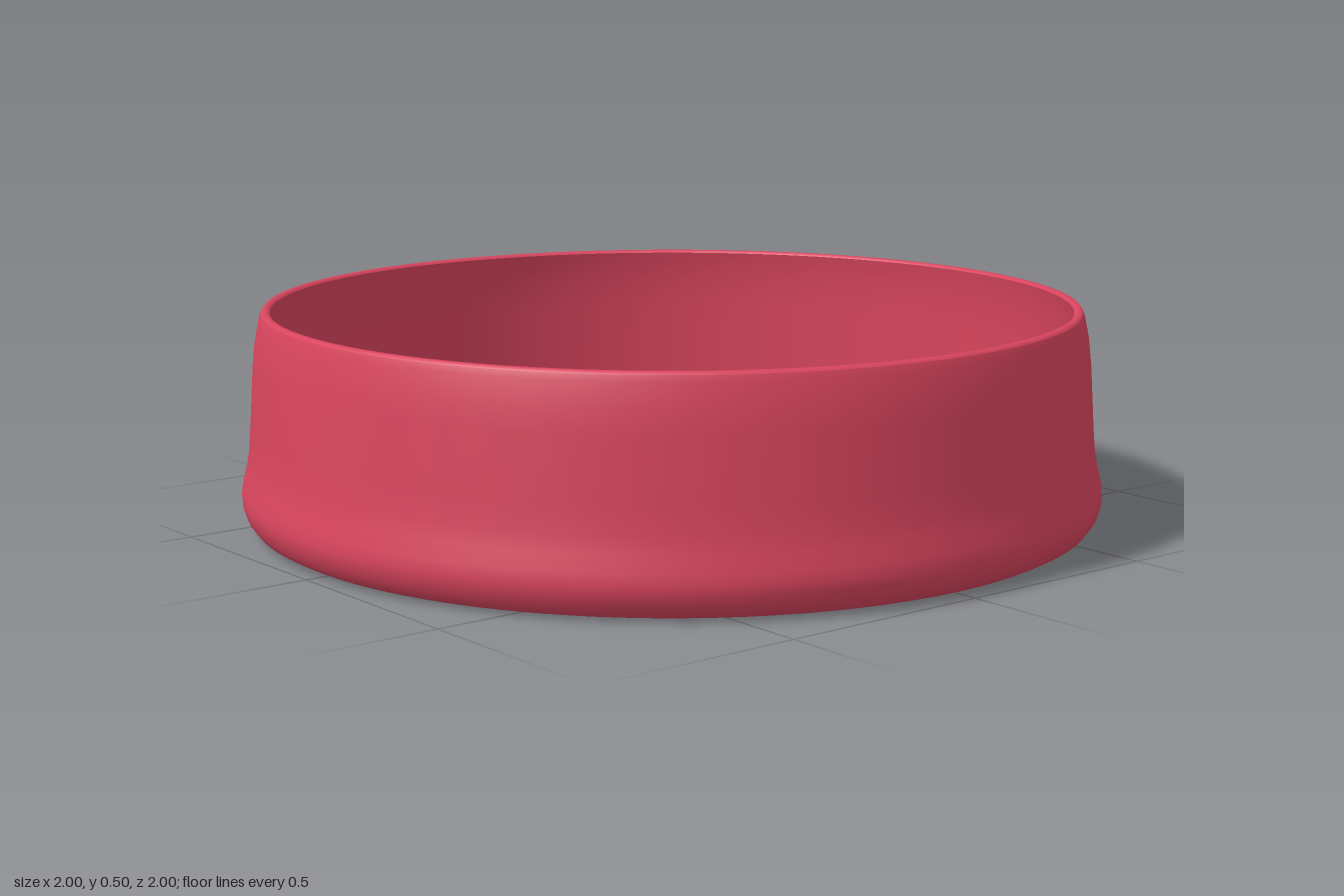
import * as THREE from 'three';

const SEGMENTS = 96;

// Each profile runs [radius, height]: up the outside, then down the inside.
const PROFILES = {
  base: [[0, 0], [0.935, 0]],
  outerWall: [
    [0.935, 0], [0.955, 0.005], [0.975, 0.016], [0.99, 0.036], [0.998, 0.06], [1, 0.08],
    [0.997, 0.105], [0.988, 0.14], [0.981, 0.18], [0.976, 0.24], [0.967, 0.38],
    [0.961, 0.435], [0.951, 0.485], [0.946, 0.499],
  ],
  rim: [[0.946, 0.499], [0.941, 0.505], [0.93, 0.505], [0.925, 0.499]],
  innerWall: [
    [0.925, 0.499], [0.93, 0.475], [0.937, 0.43], [0.942, 0.36],
    [0.947, 0.18], [0.95, 0.12], [0.956, 0.09], [0.964, 0.055],
  ],
  floor: [[0.964, 0.055], [0, 0.055]],
};

export function createModel() {
  const group = new THREE.Group();
  group.name = 'roundDish';

  const red = new THREE.MeshStandardMaterial({ color: 0xd9455e });
  red.name = 'raspberry red';

  // Separate lathes keep the creases at the base, rim and floor crisp
  for (const [name, profile] of Object.entries(PROFILES)) {
    const points = profile.map(([r, y]) => new THREE.Vector2(r, y));
    const mesh = new THREE.Mesh(new THREE.LatheGeometry(points, SEGMENTS), red);
    mesh.name = name;
    group.add(mesh);
  }
  return group;
}
